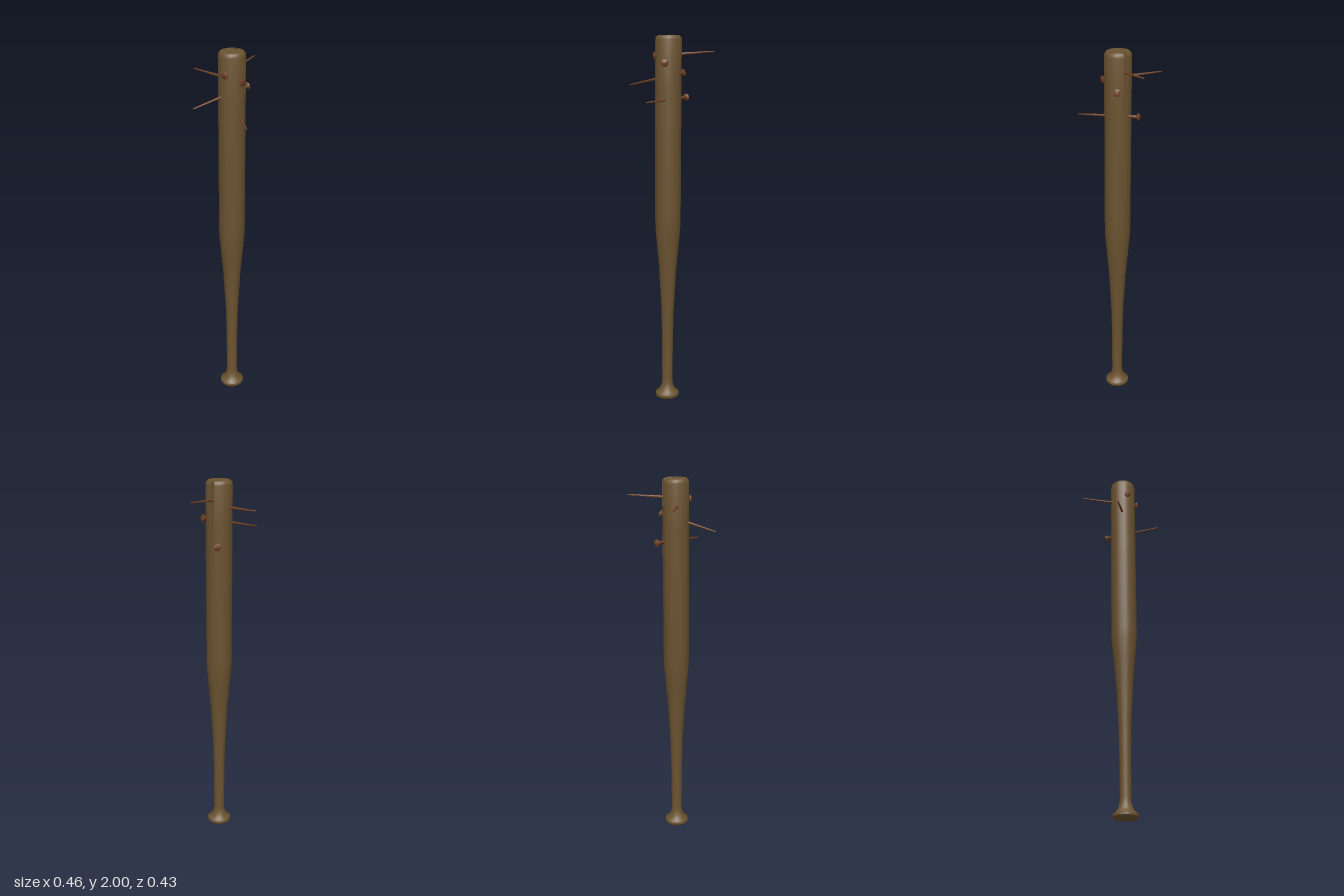
import * as THREE from 'three';
import { toCreasedNormals } from 'three/addons/utils/BufferGeometryUtils.js';

const wood = new THREE.MeshStandardMaterial({ color: 0x6b5330 });
wood.name = 'wood';
const rust = new THREE.MeshStandardMaterial({ color: 0x6e4023 });
rust.name = 'rust';

// Bat outline as [radius, height], from the knob to the rounded tip
const profile = [
  [0, 0.005], [0.058, 0.005], [0.066, 0.015], [0.065, 0.028], [0.05, 0.04], [0.037, 0.06],
  [0.031, 0.085], [0.029, 0.11], [0.031, 0.35], [0.035, 0.52], [0.048, 0.75], [0.06, 0.88],
  [0.068, 0.97], [0.07, 1.02], [0.07, 1.52], [0.07, 1.75], [0.07, 1.975], [0.067, 1.988],
  [0.058, 1.997], [0, 2.0],
];
const CRACK_ANGLE = -0.34, CRACK_BOTTOM = 1.52, SIDES = 18;

// Slight lean of the bat's axis
const axisX = (y) => -0.017 + 0.0035 * y;
const axisZ = (y) => 0.034 - 0.005 * y;

// Rings of points; one column is pushed inward to split the barrel open near the tip
function batGeometry() {
  const points = [], index = [];
  const columns = SIDES + 2;
  for (const [r, y] of profile) {
    const open = Math.max(0, (y - CRACK_BOTTOM) / (2 - CRACK_BOTTOM));
    for (let i = 0; i < columns; i++) {
      let angle, radius = r;
      if (i === 0) {
        angle = 0;
        radius = r * (1 - 0.8 * open);
      } else if (i === 1 || i === columns - 1) {
        angle = (i === 1 ? 1 : -1) * (0.015 + 0.12 * open);
      } else {
        angle = ((i - 1) / SIDES) * Math.PI * 2;
      }
      angle += CRACK_ANGLE;
      points.push(axisX(y) + radius * Math.cos(angle), y, axisZ(y) + radius * Math.sin(angle));
    }
  }
  for (let j = 0; j < profile.length - 1; j++) {
    for (let i = 0; i < columns; i++) {
      const a = j * columns + i, b = j * columns + ((i + 1) % columns);
      const c = a + columns, d = b + columns;
      if (j > 0) index.push(a, c, b);
      if (j < profile.length - 2) index.push(b, c, d);
    }
  }
  const geometry = new THREE.BufferGeometry();
  geometry.setAttribute('position', new THREE.Float32BufferAttribute(points, 3));
  geometry.setIndex(index);
  return toCreasedNormals(geometry, 0.65);
}

// Nail with a flared head, running from its head to its tip
function nail(name, head, tip) {
  const from = new THREE.Vector3(...head), to = new THREE.Vector3(...tip);
  const length = from.distanceTo(to);
  const outline = [
    [0, -0.005], [0.014, -0.004], [0.02, 0.001], [0.019, 0.006], [0.01, 0.012],
    [0.009, 0.03], [0.007, length * 0.5], [0.0035, length - 0.004], [0, length],
  ].map(([r, y]) => new THREE.Vector2(r, y));
  const mesh = new THREE.Mesh(toCreasedNormals(new THREE.LatheGeometry(outline, 10), 0.8), rust);
  mesh.name = name;
  mesh.position.copy(from);
  mesh.quaternion.setFromUnitVectors(new THREE.Vector3(0, 1, 0), to.sub(from).normalize());
  return mesh;
}

export function createModel() {
  const group = new THREE.Group();
  group.name = 'spikedBat';

  const bat = new THREE.Mesh(batGeometry(), wood);
  bat.name = 'bat';
  group.add(bat);

  group.add(
    nail('leftNail', [-0.085, 1.892, 0.044], [0.227, 1.915, -0.04]),
    nail('rightNail', [0.076, 1.808, 0.055], [-0.23, 1.738, -0.03]),
    nail('backNail', [-0.019, 1.856, 0.106], [-0.043, 1.867, -0.218]),
    nail('frontNail', [0.075, 1.675, -0.062], [-0.1, 1.66, 0.215]),
  );
  return group;
}
